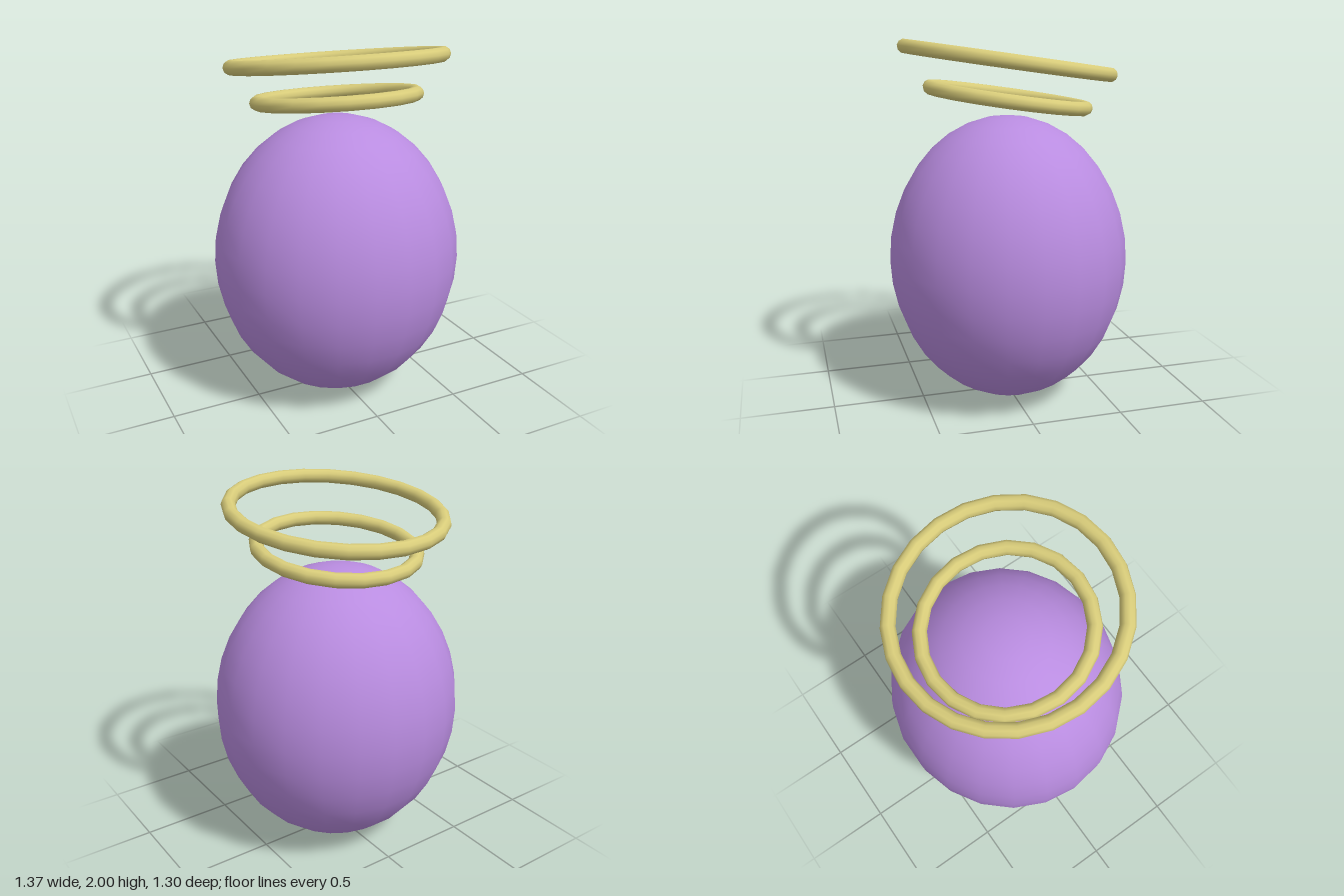
import * as THREE from 'three';

export function createModel() {
  const model = new THREE.Group();

  const purple = new THREE.MeshStandardMaterial({ color: 0xb98ce0 });
  purple.name = 'purple';
  const gold = new THREE.MeshStandardMaterial({ color: 0xd8cc7a });
  gold.name = 'gold';

  // Egg-like body, slightly narrower front to back
  const bodyGeometry = new THREE.SphereGeometry(1, 22, 18);
  bodyGeometry.scale(0.687, 0.793, 0.657);
  const body = new THREE.Mesh(bodyGeometry, purple);
  body.name = 'body';
  body.position.y = 0.798;
  model.add(body);

  // Two floating rings, both raised at the front
  const tilt = 0.142;
  const addRing = (name, radius, y, segments) => {
    const ring = new THREE.Mesh(new THREE.TorusGeometry(radius, 0.038, 10, segments), gold);
    ring.name = name;
    ring.rotation.x = Math.PI / 2 - tilt;
    ring.position.y = y;
    model.add(ring);
  };
  addRing('lowerRing', 0.426, 1.688, 20);
  addRing('upperRing', 0.557, 1.884, 24);

  return model;
}
